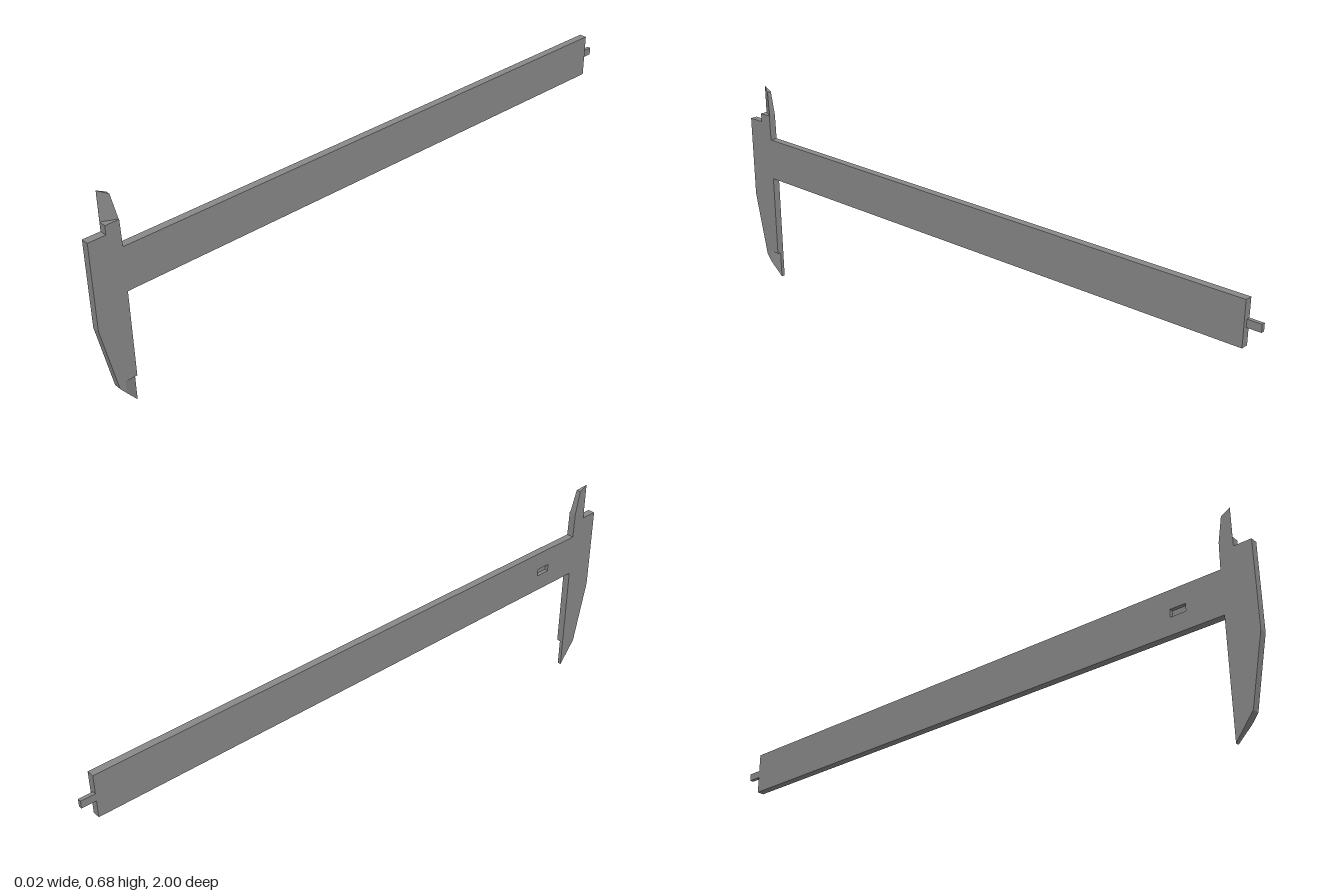
import * as THREE from 'three';

const BACK = -0.012, FRONT = 0.012;

// Extrudes a side outline of [z, y] points from x0 to x1; x1 may be a function of z for a bevelled face.
function plate(name, points, x0, x1, material) {
  const shape = new THREE.Shape(points.map(([z, y]) => new THREE.Vector2(-z, y)));
  const geometry = new THREE.ExtrudeGeometry(shape, { depth: 1, bevelEnabled: false });
  const pos = geometry.attributes.position;
  for (let i = 0; i < pos.count; i++) {
    const z = -pos.getX(i);
    const outer = typeof x1 === 'function' ? x1(z) : x1;
    pos.setXYZ(i, pos.getZ(i) > 0.5 ? outer : x0, pos.getY(i), z);
  }
  geometry.computeVertexNormals();
  const mesh = new THREE.Mesh(geometry, material);
  mesh.name = name;
  return mesh;
}

export function createModel() {
  const steel = new THREE.MeshStandardMaterial({ color: 0x888888 });
  steel.name = 'steel grey';
  const group = new THREE.Group();
  group.name = 'caliperBeam';

  const beamEnd = -0.955, grooveLow = 0.422, grooveHigh = 0.446, grooveEnd = 0.785;

  // Beam and fixed jaws, without the bevelled tips
  const outline = [
    [beamEnd, 0.505], [0.9, 0.505], [0.902, 0.588], [0.945, 0.588], [0.945, 0.56],
    [1, 0.56], [1, 0.288], [0.957, 0.075], [0.938, 0.05], [0.938, 0.09],
    [0.9, 0.09], [0.9, 0.367], [beamEnd, 0.367],
  ];
  const groove = [
    [beamEnd, grooveLow], [grooveEnd, grooveLow], [grooveEnd, grooveHigh], [beamEnd, grooveHigh],
  ];
  group.add(plate('beamFrontHalf', outline, 0, FRONT, steel));
  group.add(plate('beamGroovedHalf', [...outline, ...groove], BACK, 0, steel));

  // Inside jaw tip, thinning to a knife edge on its outer side
  group.add(plate('upperJawTip',
    [[0.945, 0.588], [0.945, 0.68], [0.916, 0.665], [0.902, 0.588]],
    BACK, z => BACK + 0.0003 + (0.945 - z) * 0.5, steel));

  // Outside jaw tip, thinning towards the measuring face
  group.add(plate('lowerJawTip',
    [[0.938, 0.09], [0.938, 0.05], [0.9, 0], [0.9, 0.09]],
    BACK, z => (z - 0.9) / 0.038 * FRONT, steel));

  // Depth rod lying in the groove and projecting past the beam
  group.add(plate('depthRod',
    [[0.735, grooveLow], [0.735, grooveHigh], [-1, grooveHigh], [-1, grooveLow]],
    BACK, 0, steel));

  return group;
}
